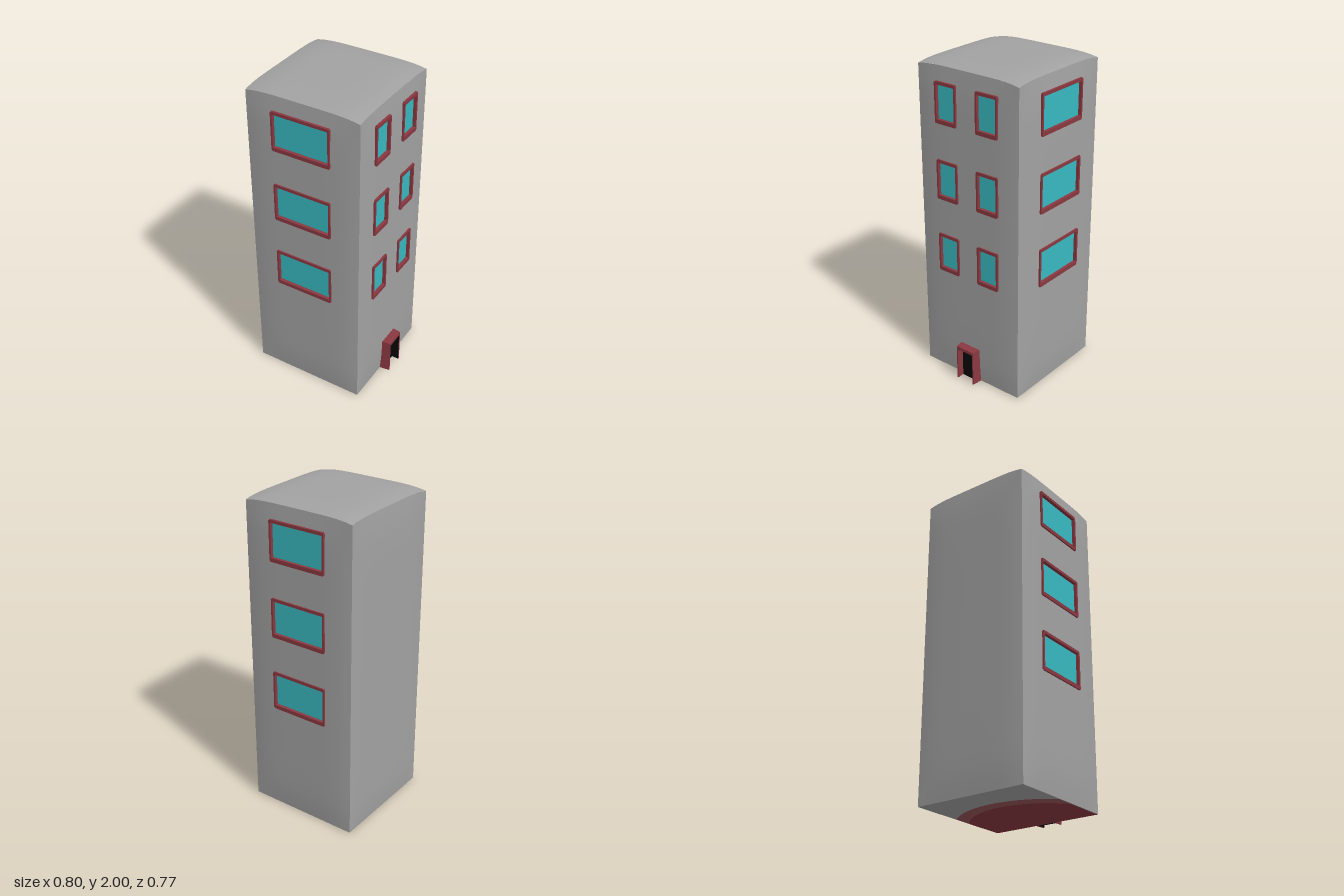
import * as THREE from 'three';

const mat = (name, color, side = THREE.FrontSide) => {
  const m = new THREE.MeshStandardMaterial({ color, side });
  m.name = name;
  return m;
};

// Body centre and half sizes
const CX = -0.0275, HX = 0.3625, HZ = 0.362, H = 1.98;
const bulge = (t, p) => 1 - Math.abs(t) ** p;

// Slightly inflated box: u, v, w run from -1 to 1 along x, z, y
function puff(u, v, w) {
  const mid = bulge(w, 10);
  return [
    CX + u * (HX + 0.012 * bulge(v, 5) * mid),
    (w + 1) / 2 * (1.965 + 0.0175 * (bulge(u, 5) + bulge(v, 5))),
    v * (HZ + 0.014 * bulge(u, 5) * mid),
  ];
}

// Even grid lines plus the edges of the holes
function gridLines(n, extra) {
  const set = [...extra];
  for (let i = 0; i <= n; i++) {
    const t = -1 + 2 * i / n;
    if (!extra.some(e => Math.abs(e - t) < 0.02)) set.push(t);
  }
  return set.sort((a, b) => a - b);
}

// One body face; holes are [s0, s1, t0, t1]
function face(map, holes = []) {
  const ss = gridLines(16, [...new Set(holes.flatMap(h => [h[0], h[1]]))]);
  const ts = gridLines(24, [...new Set(holes.flatMap(h => [h[2], h[3]]))]);
  const pos = [], idx = [], n = ss.length;
  for (const t of ts) for (const s of ss) pos.push(...map(s, t));
  for (let j = 0; j < ts.length - 1; j++) {
    for (let i = 0; i < n - 1; i++) {
      const s = (ss[i] + ss[i + 1]) / 2, t = (ts[j] + ts[j + 1]) / 2;
      if (holes.some(h => s > h[0] && s < h[1] && t > h[2] && t < h[3])) continue;
      const a = j * n + i, b = a + 1, c = b + n, d = a + n;
      idx.push(a, b, c, a, c, d);
    }
  }
  const g = new THREE.BufferGeometry();
  g.setAttribute('position', new THREE.Float32BufferAttribute(pos, 3));
  g.setIndex(idx);
  g.computeVertexNormals();
  return g;
}

export function createModel() {
  const model = new THREE.Group();
  model.name = 'towerBlock';
  const wallGrey = mat('wall grey', 0xa2a2a2);
  const frameRed = mat('frame red', 0x8a3840);
  const paleRed = mat('pale red', 0x965358);
  const glassTeal = mat('glass teal', 0x38b8c0);
  const doorBlack = mat('door black', 0x080808);

  const add = (parent, name, geo, material, x = 0, y = 0, z = 0) => {
    const m = new THREE.Mesh(geo, material);
    m.name = name;
    m.position.set(x, y, z);
    parent.add(m);
    return m;
  };
  const box = (parent, name, w, h, d, material, x, y, z) =>
    add(parent, name, new THREE.BoxGeometry(w, h, d), material, x, y, z);

  // Window layout
  const rows = [0.70, 1.175, 1.645], winH = 0.248;
  const wide = { x: -0.03, w: 0.376 }, narrow = { z: 0.149, w: 0.155 };
  const inset = 0.006;
  const rowSpan = y => [2 * (y + inset) / H - 1, 2 * (y + winH - inset) / H - 1];
  const holesFor = (centre, width, half) => rows.map(y => [
    (centre - width / 2 + inset) / half, (centre + width / 2 - inset) / half, ...rowSpan(y)]);
  const sideHoles = [-1, 1].flatMap(s => holesFor(s * narrow.z, narrow.w, HZ));

  // Body faces
  add(model, 'frontWall', face((s, t) => puff(s, 1, t), holesFor(wide.x - CX, wide.w, HX)), wallGrey);
  add(model, 'backWall', face((s, t) => puff(-s, -1, t), holesFor(CX - wide.x, wide.w, HX)), wallGrey);
  add(model, 'doorWall', face((s, t) => puff(1, -s, t), sideHoles), wallGrey);
  add(model, 'plainWall', face((s, t) => puff(-1, s, t)), wallGrey);
  add(model, 'roof', face((s, t) => puff(s, -t, 1)), wallGrey);
  add(model, 'base', face((s, t) => puff(s, t, -1)), wallGrey);

  // Framed window with recessed glass; its front lies on the group's z = 0
  function addWindow(name, width, x, y, z, turn) {
    const g = new THREE.Group();
    g.name = name;
    g.position.set(x, y, z);
    g.rotation.y = turn;
    const side = 0.012, top = 0.018, bottom = 0.024, d = 0.035;
    for (const s of [-1, 1]) {
      box(g, 'frameSide', side, winH - 0.012, d, frameRed, s * (width - side) / 2, winH / 2, -d / 2);
    }
    box(g, 'frameTop', width - 0.01, top, d, frameRed, 0, winH - top / 2, -d / 2);
    box(g, 'frameSill', width - 0.01, bottom, d, frameRed, 0, bottom / 2, -d / 2);
    box(g, 'glass', width - side, winH - top, 0.006, glassTeal, 0, winH / 2, -0.023);
    model.add(g);
  }
  for (const y of rows) {
    addWindow('frontWindow', wide.w, wide.x, y, 0.385, 0);
    addWindow('backWindow', wide.w, wide.x, y, -0.385, Math.PI);
    for (const s of [-1, 1]) addWindow('sideWindow', narrow.w, 0.357, y, s * narrow.z, Math.PI / 2);
  }

  // Door surround, narrowing outwards
  const door = new THREE.Group();
  door.name = 'door';
  model.add(door);
  const surround = new THREE.Shape([
    [-0.075, 0], [-0.058, 0], [-0.058, 0.21], [0.058, 0.21],
    [0.058, 0], [0.075, 0], [0.075, 0.23], [-0.075, 0.23],
  ].map(p => new THREE.Vector2(...p)));
  const surroundGeo = new THREE.ExtrudeGeometry(surround, { depth: 0.07, bevelEnabled: false });
  const p = surroundGeo.attributes.position;
  for (let i = 0; i < p.count; i++) {
    if (Math.abs(p.getX(i)) > 0.07) p.setX(i, p.getX(i) * (1 - 1.7 * p.getZ(i)));
  }
  surroundGeo.computeVertexNormals();
  add(door, 'doorFrame', surroundGeo, frameRed, 0.33, 0, 0).rotation.y = Math.PI / 2;
  box(door, 'doorOpening', 0.006, 0.21, 0.116, doorBlack, 0.351, 0.105, 0);
  box(door, 'doorLiningTop', 0.044, 0.003, 0.116, doorBlack, 0.376, 0.2085, 0);
  box(door, 'doorLiningSide', 0.044, 0.21, 0.003, doorBlack, 0.376, 0.105, -0.0565);

  // Round patches under the base, cut off at the walls
  function patch(name, radius, y, material) {
    const x0 = 0.333, zMax = 0.358, a = Math.asin(zMax / radius);
    const s = new THREE.Shape();
    s.moveTo(x0, -zMax);
    s.lineTo(x0, zMax);
    s.absarc(x0, 0, radius, Math.PI - a, Math.PI + a, false);
    add(model, name, new THREE.ShapeGeometry(s, 32), material, 0, y, 0).rotation.x = Math.PI / 2;
  }
  patch('baseOuterPatch', 0.53, -0.001, paleRed);
  patch('baseInnerPatch', 0.45, -0.002, frameRed);

  return model;
}
